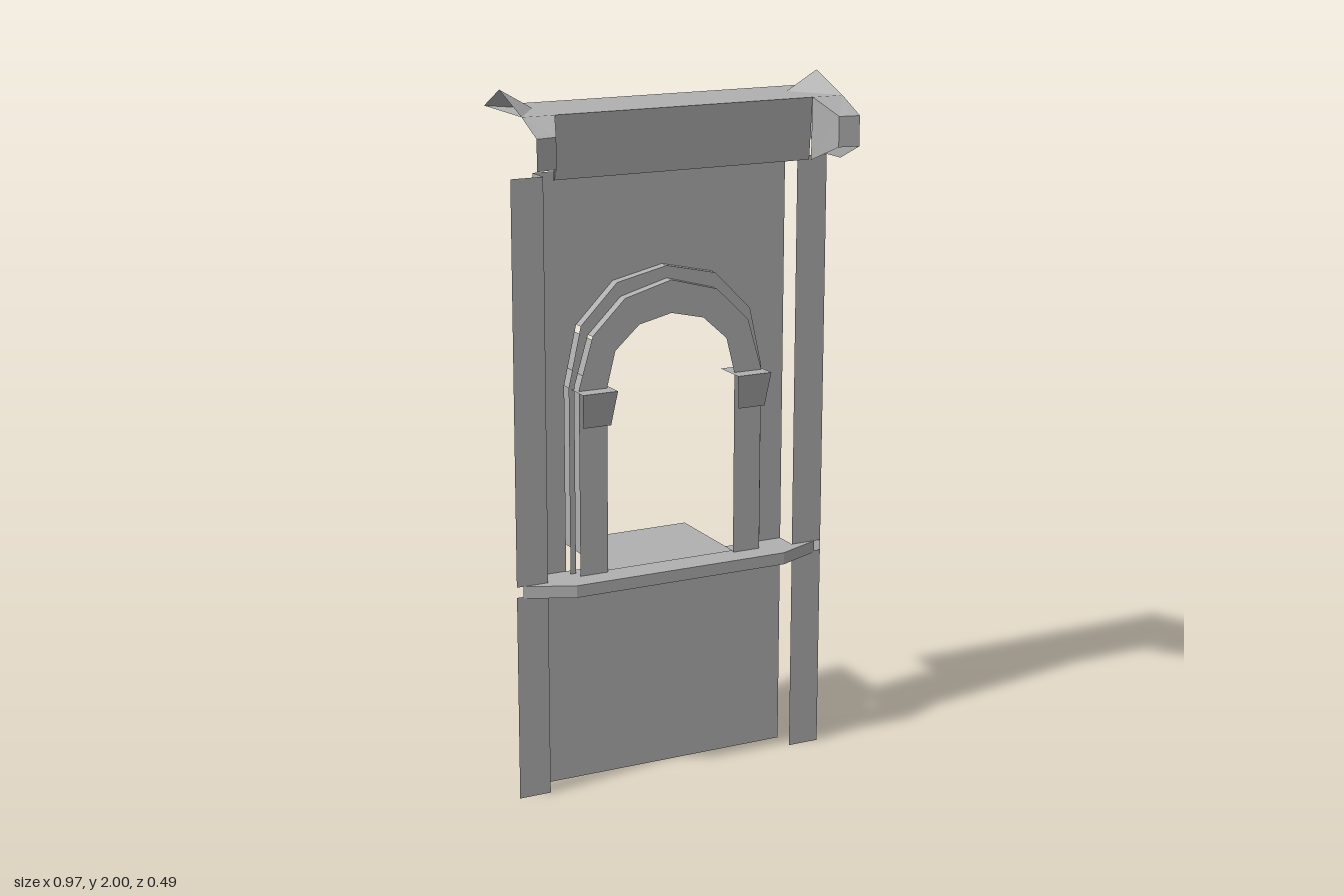
import * as THREE from 'three';

const stone = new THREE.MeshStandardMaterial({ color: 0xb0b0b0, side: THREE.DoubleSide });
stone.name = 'grey stone';

// Flat-shaded sheet lofted between two rows of [x, y, z] points
function loft(name, a, b) {
  const v = [];
  for (let i = 0; i < a.length - 1; i++) {
    v.push(...a[i], ...a[i + 1], ...b[i + 1], ...a[i], ...b[i + 1], ...b[i]);
  }
  const g = new THREE.BufferGeometry();
  g.setAttribute('position', new THREE.Float32BufferAttribute(v, 3));
  g.computeVertexNormals();
  const m = new THREE.Mesh(g, stone);
  m.name = name;
  return m;
}
const quad = (name, p, q, r, s) => loft(name, [p, q], [s, r]);

// Upright flat sheet facing +z from an outline of [x, y] points
function plate(name, outline, z) {
  const shape = new THREE.Shape(outline.map(([x, y]) => new THREE.Vector2(x, y)));
  const m = new THREE.Mesh(new THREE.ShapeGeometry(shape), stone);
  m.name = name;
  m.position.z = z;
  return m;
}
const rect = (name, x0, x1, y0, y1, z) => plate(name, [[x0, y0], [x1, y0], [x1, y1], [x0, y1]], z);

// Horizontal sheet facing up from [x, z] points
function deck(name, outline, y) {
  const m = plate(name, outline.map(([x, z]) => [x, -z]), 0);
  m.rotation.x = -Math.PI / 2;
  m.position.y = y;
  return m;
}

const W = 0.485, P = 0.39, FRONT = 0.07, SILL = 0.6, LEDGE = 0.63, EAVE = 1.77, TOP = 1.945;

// Arch outline from right foot over the crown to left foot
function arch(half, foot) {
  const right = [[half[0][0], foot], ...half];
  return [...right, ...right.slice(0, -1).reverse().map(([x, y]) => [-x, y])];
}
const outer = arch([[0.303, 1.17], [0.265, 1.34], [0.153, 1.453], [0, 1.487]], LEDGE);
const middle = arch([[0.286, 1.17], [0.243, 1.315], [0.143, 1.413], [0, 1.452]], LEDGE);
const inner = arch([[0.2, 1.165], [0.174, 1.268], [0.1, 1.335], [0, 1.358]], LEDGE);
const at = (pts, z) => pts.map(([x, y]) => [x, y, z]);

function wall() {
  const g = new THREE.Group();
  g.name = 'wall';
  g.add(rect('lowerPanel', -P, P, 0, SILL, 0));
  g.add(plate('upperPanel', [[-P, LEDGE], [-P, EAVE], [P, EAVE], [P, LEDGE], ...outer], 0));
  for (const s of [-1, 1]) {
    const x0 = s < 0 ? -W : P, x1 = s < 0 ? -P : W;
    g.add(rect('pilasterBase', x0, x1, 0, SILL, FRONT));
    g.add(rect('pilasterShaft', x0, x1, LEDGE, EAVE, FRONT));
    // Each pilaster carries only its +x return
    g.add(quad('pilasterSide', [x1, 0, FRONT], [x1, 0, 0], [x1, EAVE, 0], [x1, EAVE, FRONT]));
  }
  return g;
}

function archway() {
  const g = new THREE.Group();
  g.name = 'archway';
  // Stepped trim: raised face, step and outer returns
  g.add(loft('archFace', at(middle, 0.06), at(inner, 0.06)));
  g.add(loft('archStep', at(outer, 0.03), at(middle, 0.03)));
  g.add(loft('stepReturn', at(middle.slice(0, 7), 0.06), at(middle.slice(0, 7), 0.03)));
  const edge = outer.slice(0, 7);
  edge[0] = [edge[0][0], SILL];
  g.add(loft('trimReturn', at(edge, 0.03), at(edge, -0.03)));

  // Deep reveal with its floor and springing
  const back = -0.245, f = 0.06;
  g.add(deck('niceFloor'.replace('nice', 'niche'), [[-0.2, f], [0.2, f], [0.2, back], [-0.2, back]], 0.635));
  const reveal = [[-0.2, LEDGE], [-0.2, 1.165]];
  g.add(loft('nicheWall', at(reveal, back), at(reveal, f)));
  const spring = [[-0.2, 1.165], [-0.174, 1.268]];
  g.add(loft('archSpringing', at(spring, back), at(spring, f)));

  // Tapered capitals; the one on -x runs back along the reveal
  for (const s of [-1, 1]) {
    const end = s < 0 ? back : 0;
    const tx = s < 0 ? [-0.295, -0.188] : [0.188, 0.295];
    const bx = s < 0 ? [-0.285, -0.2] : [0.2, 0.285];
    const t = 1.165, b = 1.065;
    g.add(quad('capitalFront', [bx[0], b, 0.085], [bx[1], b, 0.085], [tx[1], t, 0.105], [tx[0], t, 0.105]));
    g.add(quad('capitalSide', [bx[1], b, 0.085], [bx[1], b, end], [tx[1], t, end], [tx[1], t, 0.105]));
    g.add(deck('capitalTop', [[tx[0], 0.105], [tx[1], 0.105], [tx[1], end], [tx[0], end]], t));
  }
  return g;
}

function ledge() {
  const g = new THREE.Group();
  g.name = 'ledge';
  const bow = [[-0.465, FRONT], [-0.33, 0.13], [0.33, 0.13], [0.465, FRONT]];
  g.add(deck('ledgeTop', [[-P, 0], [-P, FRONT], ...bow, [P, FRONT], [P, 0]], LEDGE));
  g.add(loft('ledgeFront', bow.map(([x, z]) => [x, SILL - 0.005, z]), bow.map(([x, z]) => [x, LEDGE, z])));
  return g;
}

function cornice() {
  const g = new THREE.Group();
  g.name = 'cornice';
  g.add(deck('roofTop', [[-W, 0.15], [W, 0.15], [W, -0.1], [-W, -0.1]], TOP));
  g.add(quad('corniceFront', [-P, EAVE, 0.135], [P, EAVE, 0.135], [P, TOP, 0.15], [-P, TOP, 0.15]));
  for (const s of [-1, 1]) {
    // Half-gable on each end of the roof
    const peak = [s * W, 2, 0.005], foot = [s * P, TOP, 0.005];
    g.add(loft('gableFront', [peak, foot], [[s * W, TOP, 0.15], [s * W, TOP, 0.15]]));
    g.add(loft('gableBack', [foot, peak], [[s * W, TOP, -0.1], [s * W, TOP, -0.1]]));
    // Projecting bracket below it
    const a = [s * W, 1.9, 0.245], b = [s * 0.425, 1.9, 0.235];
    const c = [s * W, 1.815, 0.245], d = [s * 0.425, 1.815, 0.235];
    g.add(quad('bracketTop', [s * W, TOP, 0.15], a, b, [s * P, TOP, 0.15]));
    g.add(quad('bracketFront', a, c, d, b));
    g.add(quad('bracketSide', b, d, [s * P, EAVE, 0.145], [s * P, TOP, 0.15]));
  }
  // End cap on +x, outlined in the [z, y] plane
  const cap = plate('corniceEnd', [[-0.005, 2], [0.1, TOP], [0, EAVE], [-0.145, EAVE],
    [-0.245, 1.815], [-0.245, 1.9], [-0.15, TOP]], 0);
  cap.rotation.y = Math.PI / 2;
  cap.position.x = W;
  g.add(cap);
  return g;
}

export function createModel() {
  const model = new THREE.Group();
  model.name = 'archedWallSection';
  model.add(wall(), archway(), ledge(), cornice());
  return model;
}
